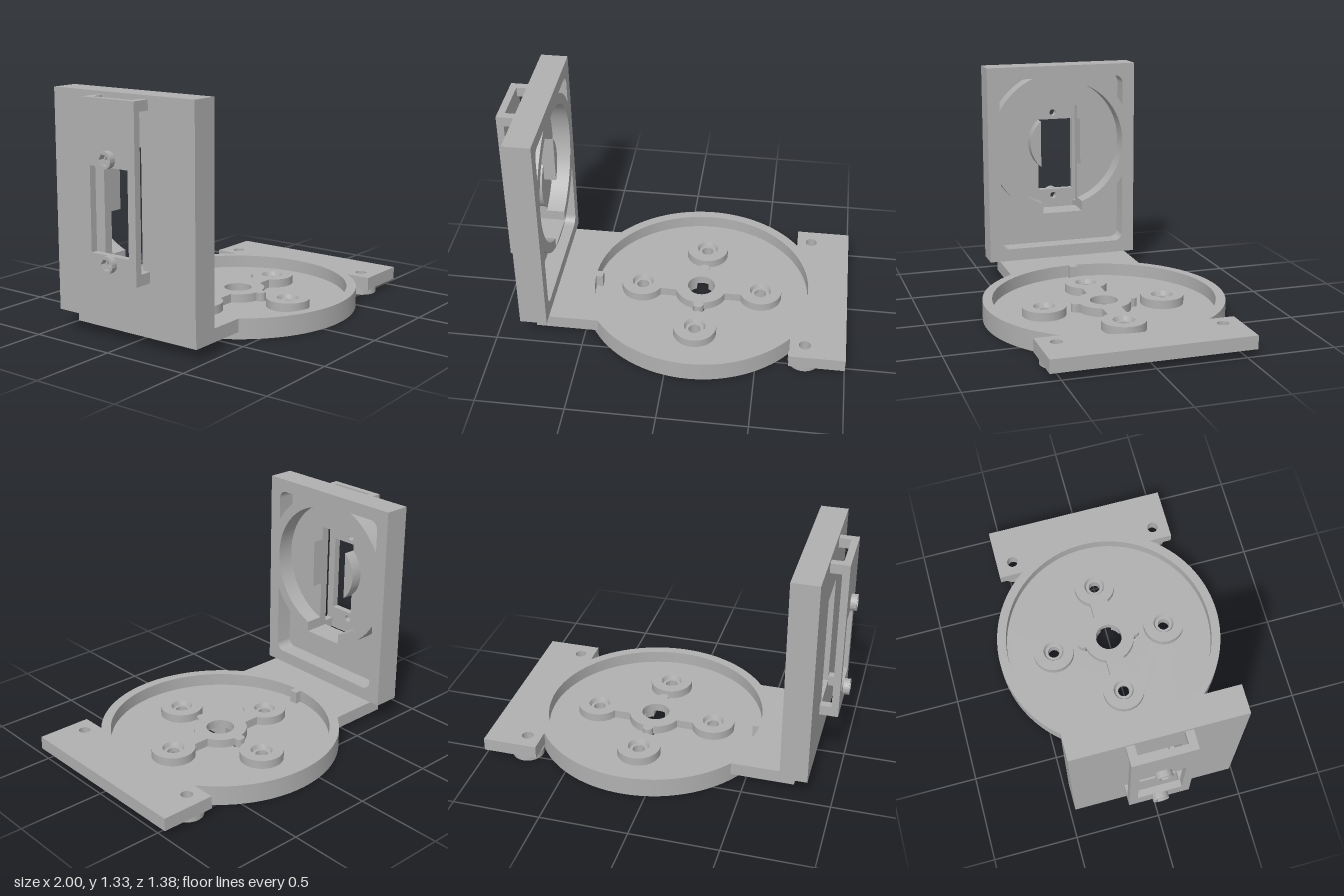
import * as THREE from 'three';
import { toCreasedNormals } from 'three/addons/utils/BufferGeometryUtils.js';

const PI = Math.PI;
const CX = 0.135;   // centre of the round base along x
const HY = 0.84;    // height of the round pocket in the upright wall

export function createModel() {
  const model = new THREE.Group();
  const grey = new THREE.MeshStandardMaterial({ color: 0xb0b0b0 });

  const add = (name, geo, x = 0, y = 0, z = 0) => {
    const mesh = new THREE.Mesh(toCreasedNormals(geo, 0.5), grey);
    mesh.name = name;
    mesh.position.set(x, y, z);
    model.add(mesh);
    return mesh;
  };
  const box = (name, x0, x1, y0, y1, z0, z1) =>
    add(name, new THREE.BoxGeometry(x1 - x0, y1 - y0, z1 - z0), (x0 + x1) / 2, (y0 + y1) / 2, (z0 + z1) / 2);
  const extrude = (shape, depth) =>
    new THREE.ExtrudeGeometry(shape, { depth, bevelEnabled: false, curveSegments: 40 });
  // plan outline raised from y0 to y1
  const slab = (name, shape, y0, y1, x = 0, z = 0) =>
    add(name, extrude(shape, y1 - y0).rotateX(-PI / 2), x, y0, z);
  // side outline (z, y) pushed from x0 to x1
  const panel = (name, shape, x0, x1, y = 0) =>
    add(name, extrude(shape, x1 - x0).rotateY(PI / 2), x0, y, 0);

  const circle = (r, x = 0, y = 0) => new THREE.Shape().absarc(x, y, r, 0, PI * 2, false);
  const poly = (pts) => new THREE.Shape(pts.map(([x, y]) => new THREE.Vector2(x, y)));
  const rect = (x0, x1, y0, y1) => poly([[x0, y0], [x1, y0], [x1, y1], [x0, y1]]);
  const hexagon = (r) => poly([0, 1, 2, 3, 4, 5].map((i) => [r * Math.cos(i * PI / 3), r * Math.sin(i * PI / 3)]));
  const cut = (shape, ...holes) => { shape.holes.push(...holes); return shape; };

  // Round base: rim, floor and raised underside disc with a cross-shaped slot
  const crossSlot = () => {
    const p = new THREE.Path(), w = 0.035, g = Math.asin(w / 0.08);
    for (let k = 0; k < 4; k++) {
      const a = k * PI / 2, L = k % 2 ? 0.15 : 0.353;
      p.absarc(L * Math.cos(a), L * Math.sin(a), w, a - PI / 2, a + PI / 2, false);
      p.absarc(0, 0, 0.08, a + g, a + PI / 2 - g, false);
    }
    p.closePath();
    return p;
  };
  const floorHoles = () => [crossSlot(), circle(0.035, 0, 0.353), circle(0.035, 0, -0.353)];
  add('baseRim', new THREE.LatheGeometry(
    [[0.69, 0], [0.69, 0.115], [0.635, 0.115], [0.635, 0], [0.69, 0]].map(([x, y]) => new THREE.Vector2(x, y)), 96), CX);
  slab('baseFloor', cut(circle(0.64), ...floorHoles()), 0.02, 0.04, CX);
  slab('undersideDisc', cut(circle(0.4), ...floorHoles()), 0, 0.02, CX);
  box('rimKey', -0.51, -0.46, 0.04, 0.115, -0.025, 0.025);

  // Hub, arms and four counterbored screw bosses
  slab('hub', cut(circle(0.155), circle(0.08)), 0.04, 0.09, CX);
  const bossProfile = [[0.125, 0.04], [0.125, 0.09], [0.062, 0.09], [0.052, 0.065], [0.035, 0.065], [0.035, 0.04], [0.125, 0.04]]
    .map(([x, y]) => new THREE.Vector2(x, y));
  for (let k = 0; k < 4; k++) {
    const a = k * PI / 2;
    add('screwBoss', new THREE.LatheGeometry(bossProfile, 40), CX + 0.353 * Math.cos(a), 0, 0.353 * Math.sin(a));
  }
  for (const s of [-1, 1]) {
    const m = CX + s * 0.19;
    box('hubArm', m - 0.05, m + 0.05, 0.04, 0.09, -0.055, 0.055);
    slab('hubBump', circle(0.03), 0.04, 0.09, CX, s * 0.165);
  }

  // Bridge to the wall and mounting tab, both cut to follow the rim
  const R = 0.65;
  const t1 = Math.asin(0.41 / R);
  const bridge = new THREE.Shape();
  bridge.moveTo(-0.78, 0.41);
  bridge.lineTo(-0.78, -0.41);
  bridge.absarc(CX, 0, R, PI + t1, PI - t1, true);
  bridge.closePath();
  slab('bridge', bridge, 0.04, 0.115);
  box('bridgeLip', -0.82, -0.78, 0.1, 0.115, -0.41, 0.41);

  const t2 = Math.acos((0.685 - CX) / R);
  const tab = new THREE.Shape();
  tab.moveTo(0.685, -0.56);
  tab.lineTo(1, -0.56);
  tab.lineTo(1, 0.56);
  tab.lineTo(0.685, 0.56);
  tab.absarc(CX, 0, R, t2, -t2, true);
  tab.closePath();
  slab('mountingTab', cut(tab, circle(0.033, 0.77, 0.46), circle(0.033, 0.77, -0.46)), 0.04, 0.115);
  for (const s of [-1, 1])
    slab('nutBoss', cut(circle(0.09), hexagon(0.06)), 0, 0.04, 0.77, s * 0.46);

  // Upright wall: back sheet with a window
  panel('wallBack', cut(rect(-0.47, 0.47, 0.115, 1.33), rect(-0.127, 0.127, 0.405, 1.065)), -0.86, -0.81);

  // Upright wall: frame with round, corner and lower pockets
  const RO = 0.455, RI = 0.394;
  const th = Math.acos(0.395 / RO), ph = Math.asin(0.415 / RO), de = Math.asin(0.127 / RI);
  const round = new THREE.Path();
  round.absarc(0, HY, RI, -PI / 2 + de, 1.5 * PI - de, false);
  round.lineTo(-0.127, 0.405);
  round.lineTo(0.127, 0.405);
  round.closePath();

  const lower = new THREE.Path();
  lower.moveTo(-0.345, 0.19);
  lower.lineTo(0.345, 0.19);
  lower.absarc(0.345, 0.24, 0.05, -PI / 2, 0, false);
  lower.absarc(0, HY, RO, -th, -PI + th, true);
  lower.absarc(-0.345, 0.24, 0.05, PI, 1.5 * PI, false);
  lower.closePath();

  const corner = (s) => {
    const ang = (a) => (s > 0 ? a : PI - a);
    const p = new THREE.Path();
    p.absarc(s * 0.345, 1.205, 0.05, ang(0), ang(PI / 2), s < 0);
    p.absarc(0, HY, RO, ang(ph), ang(th), s > 0);
    p.closePath();
    return p;
  };
  panel('wallFrame', cut(rect(-0.47, 0.47, 0.115, 1.33), round, lower, corner(1), corner(-1)), -0.81, -0.705);

  // Raised round segments either side of the window
  const be = Math.acos(0.127 / 0.192);
  for (const a of [0, PI]) {
    const seg = new THREE.Shape().absarc(0, 0, 0.192, a - be, a + be, false);
    seg.closePath();
    panel('windowBoss', seg, -0.81, -0.74, HY);
  }

  // Rear bracket: plate on four corner legs with two nut bosses
  const bossY = [0.465, 1.005];
  panel('bracketPlate', cut(rect(-0.175, 0.175, 0.37, 1.31), rect(-0.127, 0.127, 0.507, 0.963),
    ...bossY.map((y) => circle(0.02, 0, y))), -0.965, -0.925);
  for (const [y0, y1] of [[0.37, 0.43], [1.255, 1.31]])
    for (const z0 of [-0.175, 0.13])
      box('bracketLeg', -0.925, -0.86, y0, y1, z0, z0 + 0.045);
  for (const y of bossY)
    panel('bracketNutBoss', cut(circle(0.046), hexagon(0.033)), -1, -0.965, y);

  return model;
}
